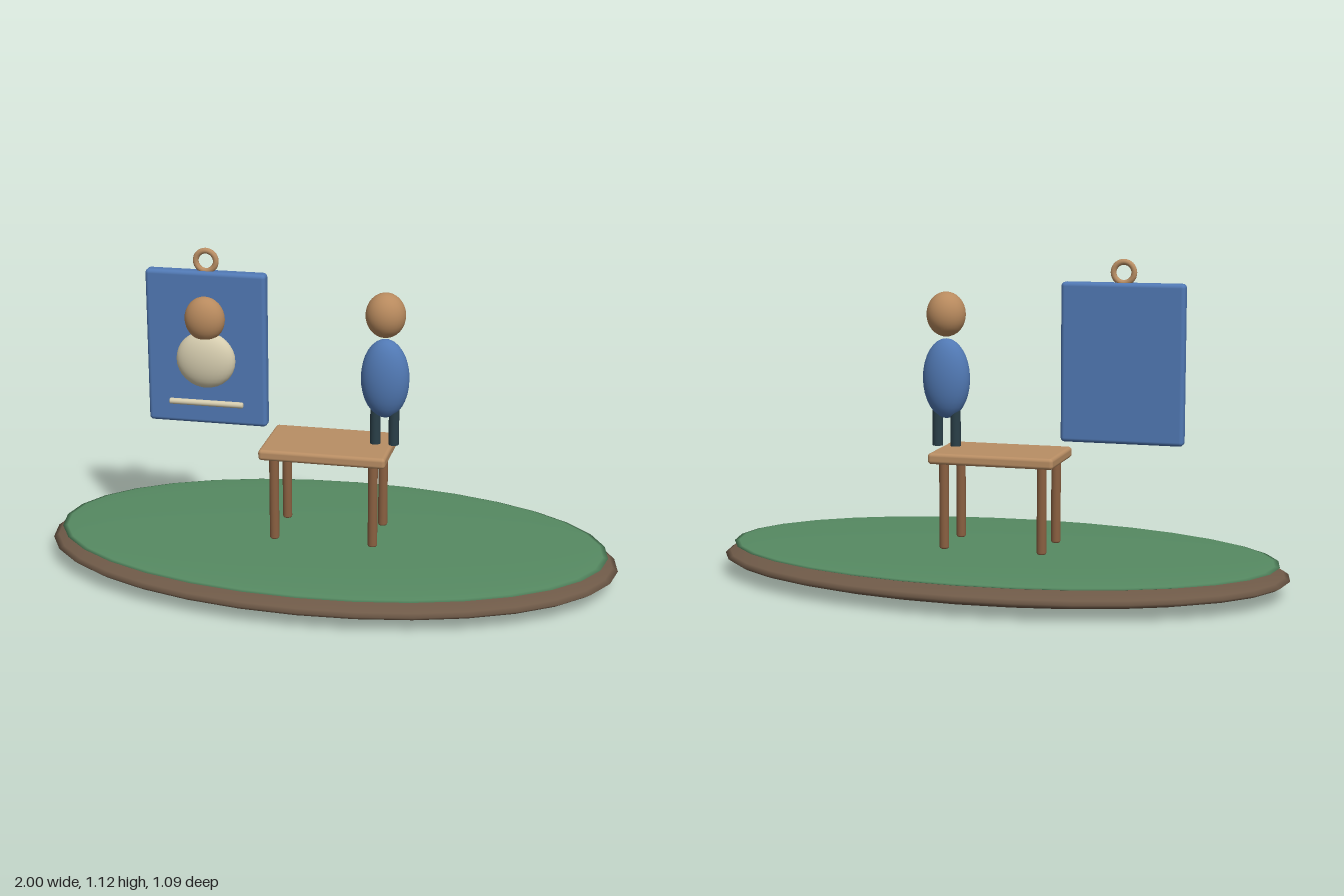
import * as THREE from 'three';
import { RoundedBoxGeometry } from 'three/addons/geometries/RoundedBoxGeometry.js';

const paint = (name, color) => {
  const m = new THREE.MeshStandardMaterial({ color });
  m.name = name;
  return m;
};

export function createModel() {
  const earth = paint('earth brown', 0x6f5a48);
  const grass = paint('grass green', 0x568a62);
  const wood = paint('light wood', 0xb98e64);
  const darkWood = paint('dark wood', 0x8a6041);
  const skin = paint('skin tan', 0xb88a5e);
  const blue = paint('blue', 0x5179b4);
  const cream = paint('cream', 0xd6cdaf);
  const trousers = paint('dark teal', 0x2a3f48);

  const model = new THREE.Group();

  const add = (parent, name, geometry, material, x, y, z) => {
    const mesh = new THREE.Mesh(geometry, material);
    mesh.name = name;
    mesh.position.set(x, y, z);
    parent.add(mesh);
    return mesh;
  };
  const group = (name, x = 0) => {
    const g = new THREE.Group();
    g.name = name;
    g.position.x = x;
    model.add(g);
    return g;
  };
  const ellipsoid = (rx, ry, rz) => new THREE.SphereGeometry(1, 32, 16).scale(rx, ry, rz);

  // Upright rod with softly chamfered ends
  const rod = (r, h, c) => new THREE.LatheGeometry([
    [0, -h / 2], [r - c, -h / 2], [r - c * 0.3, -h / 2 + c * 0.3], [r, -h / 2 + c],
    [r, h / 2 - c], [r - c * 0.3, h / 2 - c * 0.3], [r - c, h / 2], [0, h / 2],
  ].map(([x, y]) => new THREE.Vector2(x, y)), 20);

  // Oval ground
  const ground = group('ground');
  add(ground, 'earthDisc', ellipsoid(1, 0.06, 0.547), earth, 0, 0.06, 0);
  add(ground, 'grassDisc', ellipsoid(0.965, 0.018, 0.525), grass, 0, 0.104, 0);

  // Table
  const table = group('table', -0.003);
  add(table, 'tableTop', new RoundedBoxGeometry(0.438, 0.038, 0.278, 3, 0.012), wood, 0, 0.437, 0);
  for (const sx of [-1, 1]) {
    for (const sz of [-1, 1]) {
      add(table, 'tableLeg', rod(0.0165, 0.304, 0.007), darkWood, sx * 0.172, 0.273, sz * 0.0975);
    }
  }

  // Figure standing on the table
  const figure = group('figure', 0.19);
  add(figure, 'head', ellipsoid(0.068, 0.077, 0.064), skin, 0, 0.917, 0);
  add(figure, 'body', ellipsoid(0.083, 0.138, 0.058), blue, 0, 0.696, 0);
  for (const s of [-1, 1]) {
    add(figure, 'leg', new THREE.CylinderGeometry(0.018, 0.018, 0.126, 20), trousers, s * 0.032, 0.525, 0);
  }

  // Hanging panel with a raised portrait
  const panel = group('panel', -0.428);
  add(panel, 'board', new RoundedBoxGeometry(0.42, 0.54, 0.048, 3, 0.014), blue, 0, 0.767, 0);
  add(panel, 'hangingRing', new THREE.TorusGeometry(0.035, 0.01, 12, 32), wood, 0, 1.071, 0);
  add(panel, 'portraitHead', ellipsoid(0.07, 0.077, 0.05), skin, 0, 0.876, 0.029);
  add(panel, 'portraitBody', ellipsoid(0.104, 0.1, 0.045), cream, 0, 0.73, 0.026);
  add(panel, 'captionBar', rod(0.0105, 0.262, 0.005), cream, 0, 0.576, 0.035).rotation.z = Math.PI / 2;

  return model;
}
